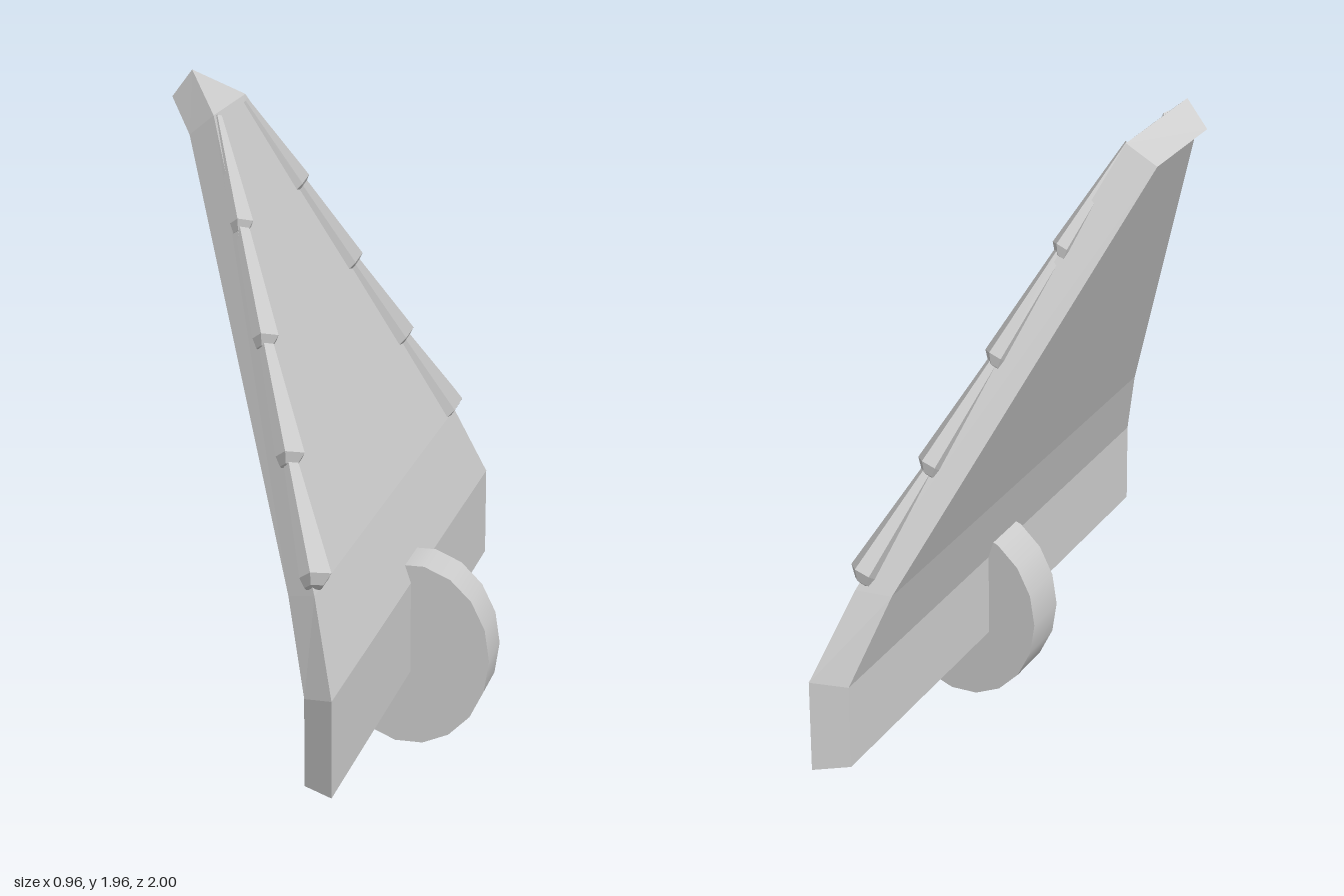
import * as THREE from 'three';

const material = new THREE.MeshStandardMaterial({ color: 0xcccccc });
const V = (x, y, z) => new THREE.Vector3(x, y, z);

// Flat-shaded mesh from quads; flip reverses the winding for mirrored parts
function facetMesh(name, quads, flip = false) {
  const points = [];
  const tri = (a, b, c) => {
    if (a.equals(b) || b.equals(c) || c.equals(a)) return;
    points.push(...(flip ? [a, c, b] : [a, b, c]));
  };
  for (const [a, b, c, d] of quads) {
    tri(a, b, c);
    tri(a, c, d);
  }
  const geometry = new THREE.BufferGeometry().setFromPoints(points);
  geometry.computeVertexNormals();
  const mesh = new THREE.Mesh(geometry, material);
  mesh.name = name;
  return mesh;
}

// Bent triangular panel: rows of [x, y, half width] for both faces
function createPanel() {
  const outer = [[0.245, 0.225, 1], [0.245, 0.5, 1], [0.165, 0.74, 0.87], [-0.31, 1.865, 0.16], [-0.42, 1.96, 0]];
  const inner = [[0.155, 0.225, 0.94], [0.155, 0.475, 0.94], [0.08, 0.715, 0.82], [-0.39, 1.8, 0.13], [-0.48, 1.88, 0]];
  const at = (rows, i, side) => V(rows[i][0], rows[i][1], rows[i][2] * side);
  const quads = [[at(inner, 0, 1), at(inner, 0, -1), at(outer, 0, -1), at(outer, 0, 1)]];
  for (let i = 0; i < outer.length - 1; i++) {
    const j = i + 1;
    quads.push(
      [at(outer, i, 1), at(outer, i, -1), at(outer, j, -1), at(outer, j, 1)],
      [at(inner, i, -1), at(inner, i, 1), at(inner, j, 1), at(inner, j, -1)],
      [at(inner, i, 1), at(outer, i, 1), at(outer, j, 1), at(inner, j, 1)],
      [at(outer, i, -1), at(inner, i, -1), at(inner, j, -1), at(outer, j, -1)]
    );
  }
  return facetMesh('panel', quads);
}

// Tapered scale lying along a sloping panel edge, from narrow top to wide rounded end
function createEdgeScale(index, side) {
  const onPanel = (t) => {
    const y = 1.855 - 0.273 * t;
    return V(0.165 - (y - 0.74) * 0.422, y, 0.13 + 0.175 * t);
  };
  const start = onPanel(index);
  const end = onPanel(index + 0.97);
  const along = end.clone().sub(start).normalize();
  const normal = V(0.921, 0.389, 0);
  const across = along.clone().cross(normal).normalize();
  const section = [[-0.07, -0.01], [-0.04, 0.025], [0, 0.052], [0.068, 0.02], [0.05, -0.02], [0, -0.03]];
  const place = (p, s, h, d = 0) => {
    const q = p.clone().addScaledVector(across, s).addScaledVector(normal, h).addScaledVector(along, d);
    q.z *= side;
    return q;
  };
  const ring = (p, scale, d, lift = 0) => section.map(([s, h]) => place(p, s * scale, h * scale + lift, d));

  const size = 0.75 + index * 0.085;
  const rings = [
    ring(start, index ? 0.45 : 0.22, 0),
    ring(end, size, 0),
    ring(end, size * 0.6, 0.025, -0.008)
  ];
  const first = place(start, 0, 0);
  const tip = place(end, 0, -0.012, 0.032);
  const quads = [];
  section.forEach((_, i) => {
    const j = (i + 1) % section.length;
    for (let r = 0; r < 2; r++) quads.push([rings[r][i], rings[r][j], rings[r + 1][j], rings[r + 1][i]]);
    quads.push([first, rings[0][j], rings[0][i], first]);
    quads.push([tip, rings[2][i], rings[2][j], tip]);
  });
  return facetMesh('edgeScale', quads, side < 0);
}

// Slightly tall disc wheel through the lower edge of the panel
function createWheel() {
  const geometry = new THREE.CylinderGeometry(1, 1, 0.156, 18);
  geometry.rotateX(Math.PI / 2);
  geometry.rotateZ(Math.PI / 2);
  geometry.scale(0.237, 0.279, 1);
  const wheel = new THREE.Mesh(geometry, material);
  wheel.name = 'wheel';
  wheel.position.set(0.242, 0.279, 0);
  return wheel;
}

export function createModel() {
  const model = new THREE.Group();
  model.name = 'wheeledPanel';
  model.add(createPanel(), createWheel());
  for (const side of [1, -1]) {
    const row = new THREE.Group();
    row.name = side > 0 ? 'frontEdgeScales' : 'backEdgeScales';
    for (let i = 0; i < 4; i++) row.add(createEdgeScale(i, side));
    model.add(row);
  }
  return model;
}
